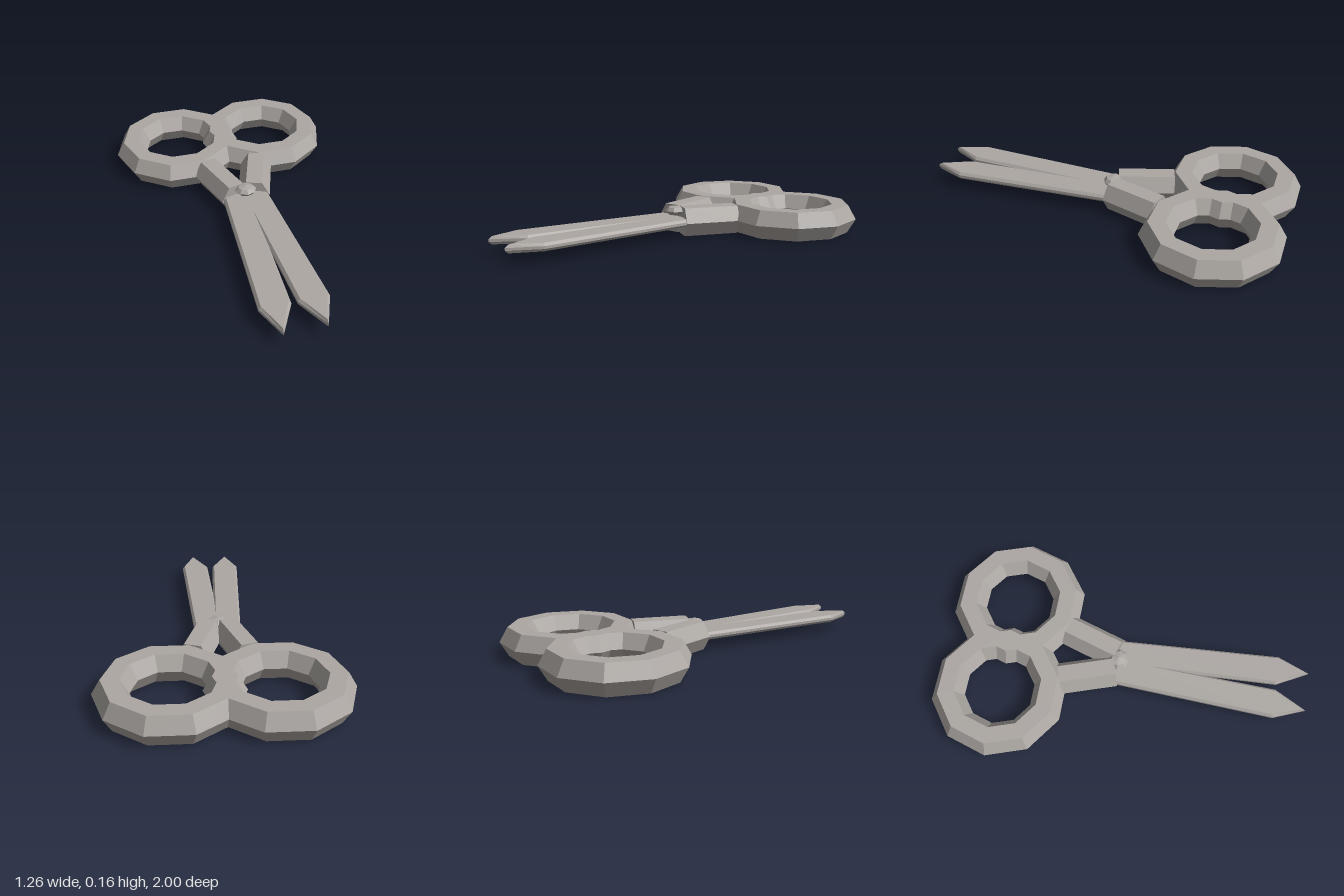
import * as THREE from 'three';

const MID = 0.08; // height of the shared centre plane

// Faceted geometry with hard edges
function faceted(geometry) {
  const g = geometry.index ? geometry.toNonIndexed() : geometry;
  g.computeVertexNormals();
  return g;
}

export function createModel() {
  const model = new THREE.Group();
  model.name = 'scissors';
  const steel = new THREE.MeshStandardMaterial({ color: 0xaca7a3 });
  steel.name = 'grey steel';

  function add(name, geometry, x, y, z) {
    const mesh = new THREE.Mesh(faceted(geometry), steel);
    mesh.name = name;
    mesh.position.set(x, y, z);
    model.add(mesh);
    return mesh;
  }

  for (const [side, s] of [['left', 1], ['right', -1]]) {
    // Ten-sided finger ring with a hexagonal section
    const ring = new THREE.TorusGeometry(0.28, 0.09, 6, 10);
    ring.rotateX(Math.PI / 2);
    add(side + 'FingerRing', ring, s * 0.262, MID, -0.65);

    // Hexagonal shank angled from the ring towards the pivot
    const shank = new THREE.CylinderGeometry(0.089, 0.089, 0.305, 6);
    shank.rotateY(Math.PI / 2);
    shank.rotateX(Math.PI / 2);
    shank.rotateY(-s * THREE.MathUtils.degToRad(18));
    add(side + 'Shank', shank, s * 0.098, MID, -0.195);

    // Pointed blade with bevelled edges
    const outline = [[0.125, -0.06], [0.175, 0.83], [0.106, 1.0], [0.016, 0.83], [-0.019, -0.06]];
    const shape = new THREE.Shape(outline.map(([x, z]) => new THREE.Vector2(s * x, z)));
    const blade = new THREE.ExtrudeGeometry(shape, {
      depth: 0.014, bevelThickness: 0.014, bevelSize: 0.012, bevelOffset: -0.012, bevelSegments: 1,
    });
    blade.translate(0, 0, -0.007);
    blade.rotateX(Math.PI / 2);
    add(side + 'Blade', blade, 0, MID, 0);
  }

  // Flattened pivot screw head
  const screw = new THREE.SphereGeometry(0.06, 8, 4);
  screw.scale(1, 0.47, 0.9);
  add('pivotScrew', screw, 0, 0.132, -0.036);

  return model;
}
